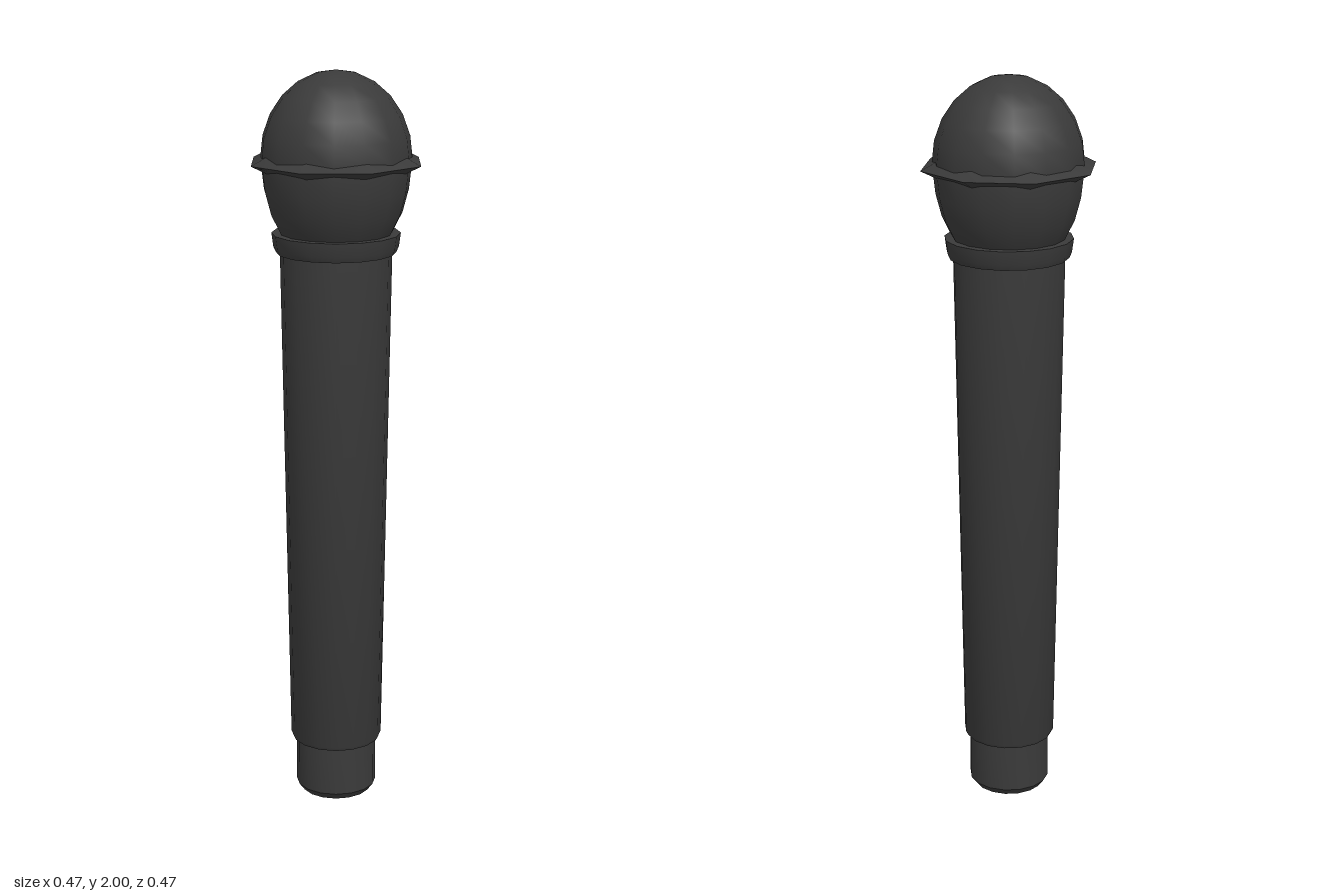
import * as THREE from 'three';
import { toCreasedNormals } from 'three/addons/utils/BufferGeometryUtils.js';

export function createModel() {
  const model = new THREE.Group();
  model.name = 'microphone';
  const material = new THREE.MeshStandardMaterial({ color: 0x3a3a3a });

  // Turns a [radius, height] profile, listed from bottom to top, around the y axis
  function turned(name, sides, profile, crease = 0.6) {
    const points = profile.map(([r, y]) => new THREE.Vector2(r, y));
    const geometry = toCreasedNormals(new THREE.LatheGeometry(points, sides), crease);
    const mesh = new THREE.Mesh(geometry, material);
    mesh.name = name;
    model.add(mesh);
  }

  // Connector end with a bevelled foot
  turned('connector', 16, [[0, 0], [0.095, 0], [0.11, 0.02], [0.11, 0.17], [0, 0.17]]);

  // Long handle, widening towards the head
  turned('handle', 16, [[0, 0.155], [0.12, 0.155], [0.125, 0.165], [0.148, 1.53], [0, 1.53]]);

  // Flared collar under the head
  turned('collar', 16, [[0, 1.525], [0.158, 1.525], [0.165, 1.54], [0.17, 1.577], [0.14, 1.577], [0.13, 1.56]]);

  // Grille head: tapered lower bowl and domed top
  const head = [[0.13, 1.55], [0.15, 1.58], [0.175, 1.63], [0.191, 1.69], [0.2, 1.77]];
  for (let i = 1; i <= 6; i++) {
    const a = (i / 6) * Math.PI / 2;
    head.push([i === 6 ? 0 : 0.2 * Math.cos(a), 1.77 + 0.23 * Math.sin(a)]);
  }
  turned('head', 15, head, 1);

  // Thin eight-sided band around the head
  turned('band', 8, [[0.18, 1.735], [0.236, 1.763], [0.18, 1.791]], 0.9);

  return model;
}
